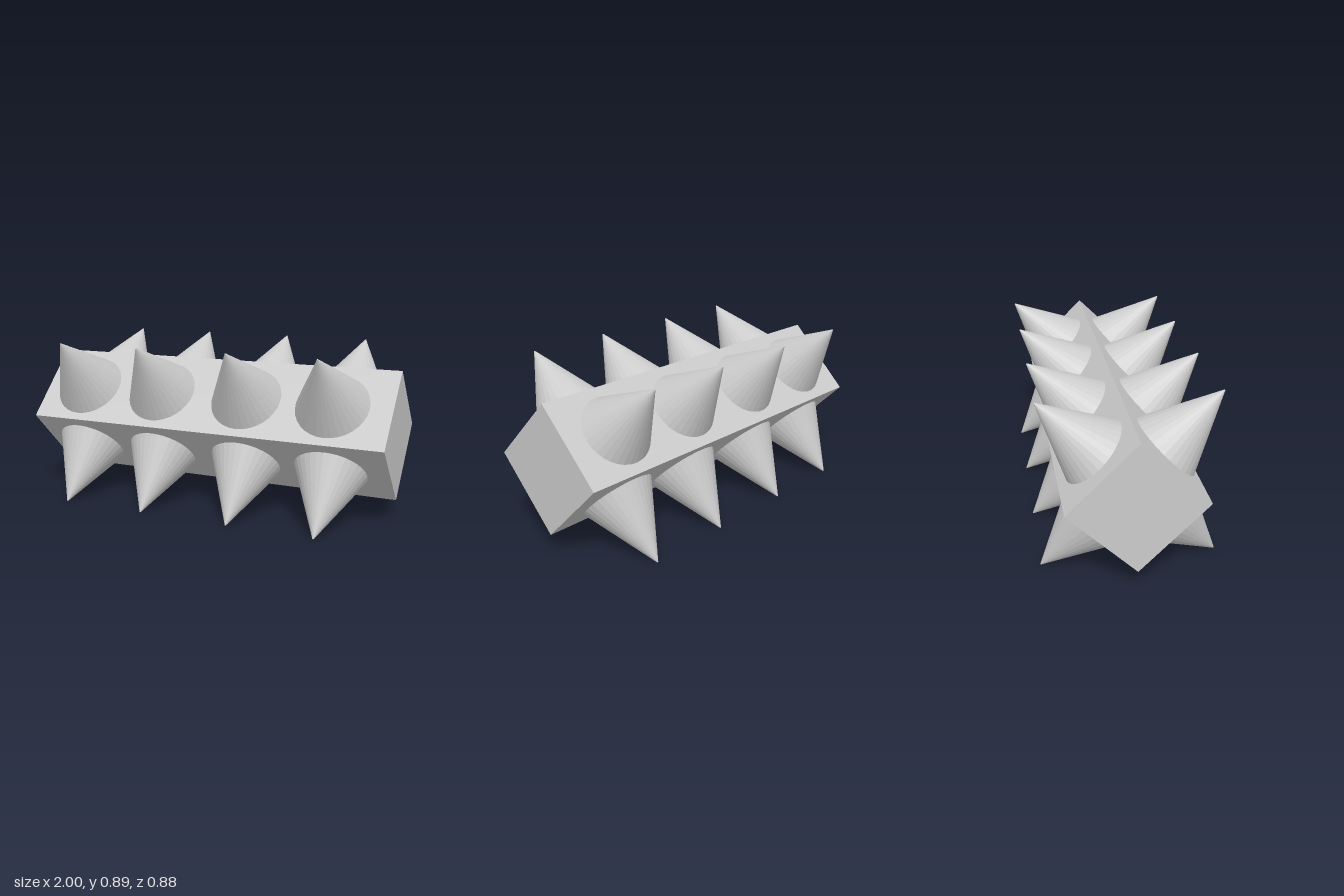
import * as THREE from 'three';

const material = new THREE.MeshStandardMaterial({ color: 0xcccccc, flatShading: true });

export function createModel() {
  const model = new THREE.Group();
  model.name = 'spikedBar';

  // Square bar lying along x, turned onto its edge
  const bar = new THREE.Mesh(new THREE.BoxGeometry(2, 0.477, 0.477), material);
  bar.name = 'bar';
  bar.rotation.x = Math.PI / 4;
  bar.position.set(0, 0.45, -0.007);
  model.add(bar);

  // Four spikes on each of the four long faces
  const radius = 0.19, height = 0.38, baseDistance = 0.24;
  const spikeGeometry = new THREE.CylinderGeometry(0.003, radius, height, 32);
  spikeGeometry.translate(0, baseDistance + height / 2, 0);

  const rows = [
    { name: 'upperFrontSpikes', angle: 0.25, x: 0, y: 0.447 },
    { name: 'lowerFrontSpikes', angle: 0.75, x: 0.002, y: 0.446 },
    { name: 'lowerBackSpikes', angle: 1.25, x: 0.007, y: 0.443 },
    { name: 'upperBackSpikes', angle: 1.75, x: 0.007, y: 0.443 },
  ];
  for (const { name, angle, x, y } of rows) {
    const row = new THREE.Group();
    row.name = name;
    row.position.set(x, y, 0);
    row.rotation.x = angle * Math.PI;
    for (const offset of [-0.73, -0.267, 0.23, 0.695]) {
      const spike = new THREE.Mesh(spikeGeometry, material);
      spike.name = 'spike';
      spike.position.x = offset;
      row.add(spike);
    }
    model.add(row);
  }
  return model;
}
